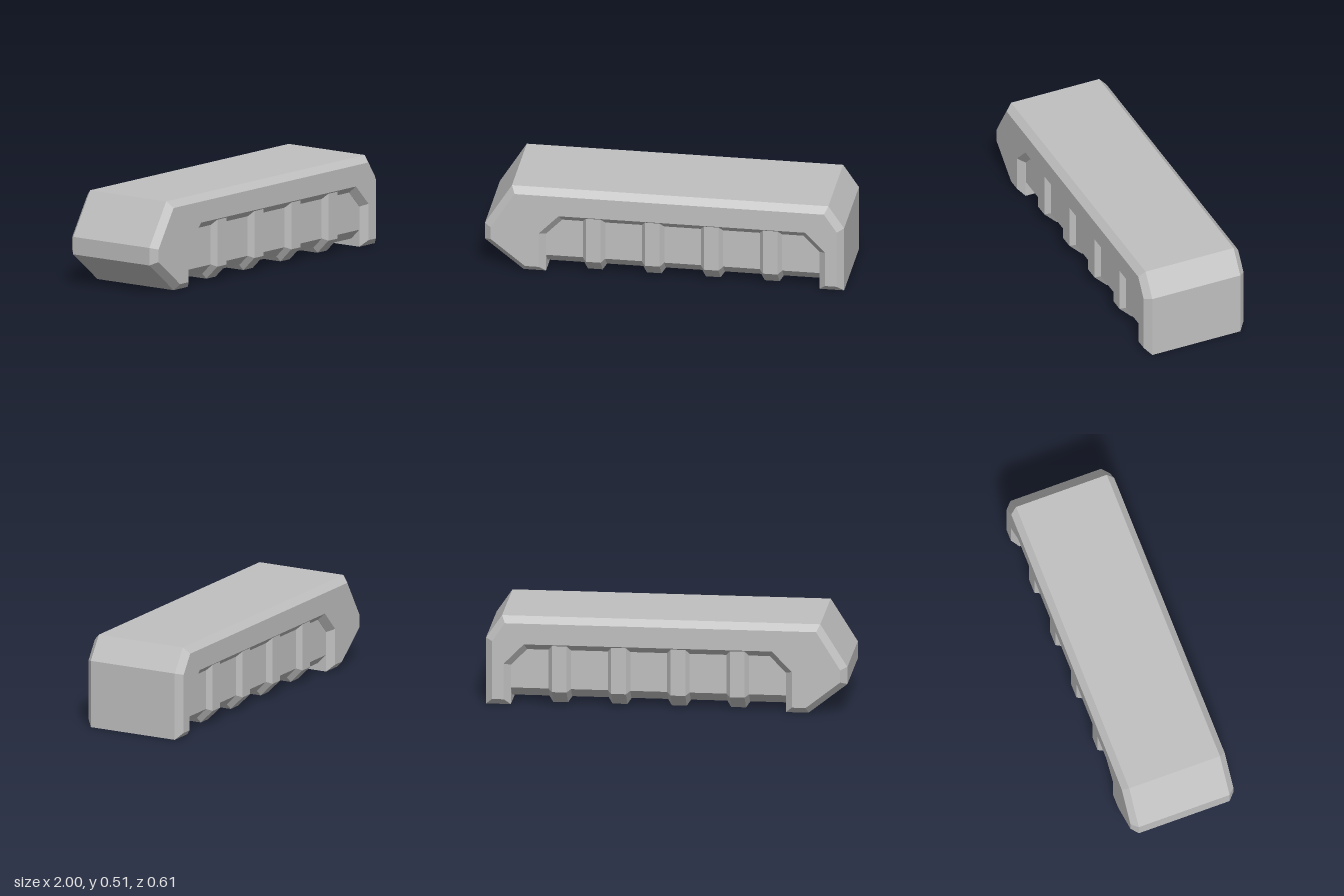
import * as THREE from 'three';

const grey = new THREE.MeshStandardMaterial({ color: 0xc0c0c0 });
grey.name = 'plain grey';

const toShape = (points) => new THREE.Shape(points.map(([x, y]) => new THREE.Vector2(x, y)));

// Extrudes a profile to an exact total length, chamfering inward at both ends
function chamferedPrism(points, length, inset = 0, run = 0) {
  const depth = length - 2 * run;
  const geometry = new THREE.ExtrudeGeometry(toShape(points), {
    depth,
    bevelEnabled: inset > 0,
    bevelSize: inset,
    bevelOffset: -inset,
    bevelThickness: run,
    bevelSegments: 1,
  });
  return geometry.translate(0, 0, -depth / 2);
}

// Cross-section with cut lower corners, symmetric about the middle
const crossSection = (half, cornerY, bottomHalf, bottomY, topY) => [
  [-bottomHalf, bottomY], [bottomHalf, bottomY], [half, cornerY],
  [half, topY], [-half, topY], [-half, cornerY],
];

function part(name, geometry) {
  const mesh = new THREE.Mesh(geometry, grey);
  mesh.name = name;
  return mesh;
}

export function createModel() {
  const model = new THREE.Group();
  model.name = 'ribbedBlock';

  // Arched outer shell with chamfered rims around the outside and the opening
  const shellProfile = [
    [-0.785, 0], [-0.66, 0], [-0.66, 0.225], [-0.57, 0.317], [0.773, 0.317],
    [0.863, 0.225], [0.863, 0], [1, 0], [1, 0.378], [0.912, 0.507],
    [-0.85, 0.507], [-1, 0.268], [-1, 0.17],
  ];
  model.add(part('outerShell', chamferedPrism(shellProfile, 0.606, 0.036, 0.036)));

  // Recessed core filling the opening, running along x
  const core = chamferedPrism(crossSection(0.266, 0.095, 0.211, 0.04, 0.4), 1.545);
  core.rotateY(Math.PI / 2).translate(0.1015, 0, 0);
  model.add(part('core', core));

  // Four bevelled ribs wrapping the sides and underside of the core
  const ribProfile = crossSection(0.296, 0.083, 0.22, 0.007, 0.42);
  const ribs = new THREE.Group();
  ribs.name = 'ribs';
  for (let i = 0; i < 4; i++) {
    const rib = chamferedPrism(ribProfile, 0.128, 0.032, 0.023);
    rib.rotateY(Math.PI / 2).translate(-0.393 + i * 0.3285, 0, 0);
    ribs.add(part('rib', rib));
  }
  model.add(ribs);

  return model;
}
